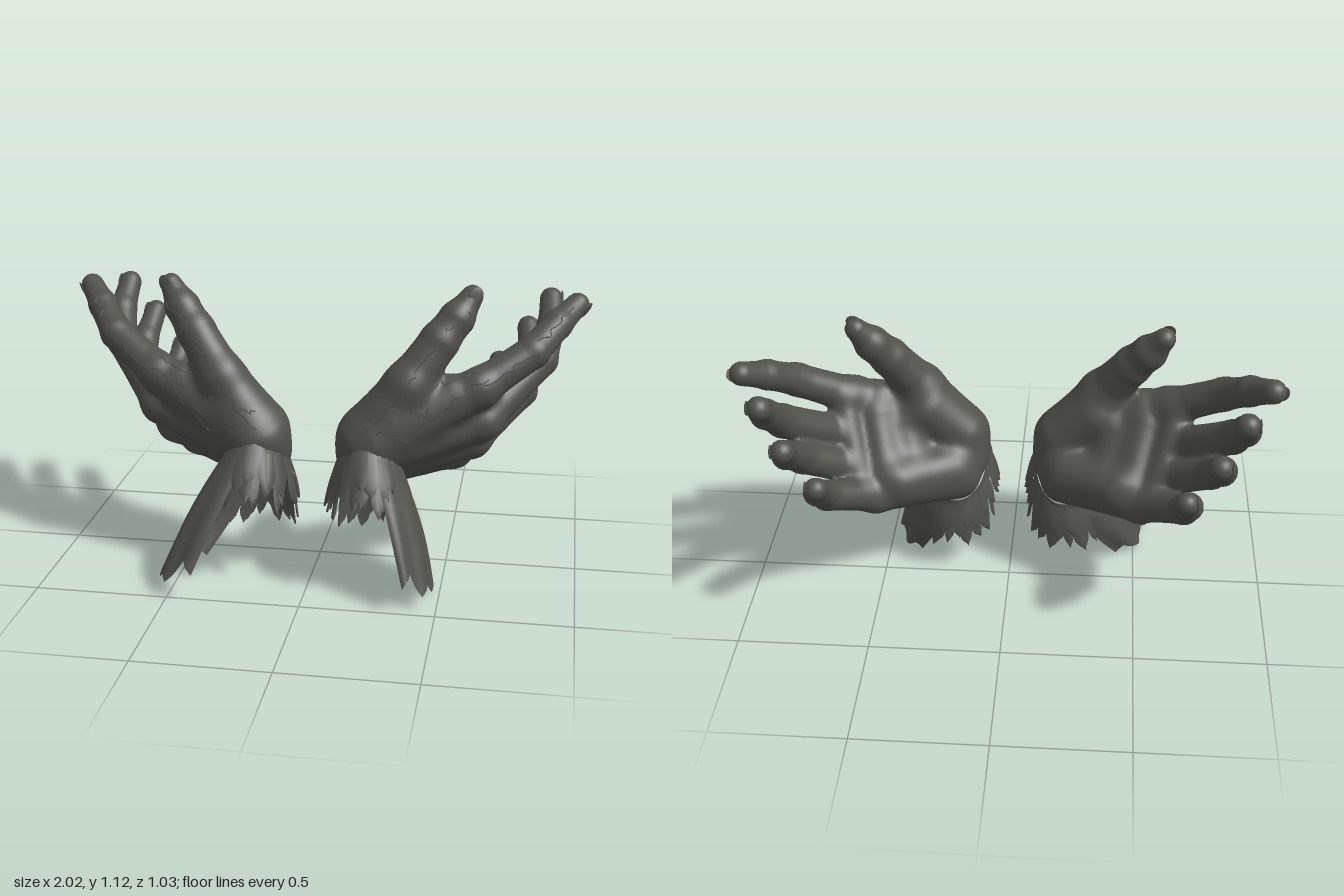
import * as THREE from 'three';
import { mergeGeometries } from 'three/addons/utils/BufferGeometryUtils.js';

const V = (x, y, z) => new THREE.Vector3(x, y, z);
let seed = 7;
const rand = () => (seed = (seed * 16807) % 2147483647) / 2147483647;

// Bones of one hand: chains of [x, y, z, radius]
const PALM = [
  [[.24, .55, .2, .1], [.61, .745, .1, .074]],
  [[.23, .5, .17, .1], [.62, .6, .04, .076]],
  [[.22, .45, .12, .1], [.58, .5, -.03, .074]],
  [[.21, .41, .07, .09], [.51, .425, -.1, .07]],
  [[.2, .54, .19, .11], [.35, .76, .16, .088]], // thumb root
  [[.2, .57, .15, .1], [.33, .69, .13, .1]], // thumb mound
  [[.24, .46, .06, .1], [.42, .47, -.06, .09]], // heel
  [[.3, .63, .17, .09], [.5, .735, .12, .06]], // web
  [[.42, .62, .1, .09], [.39, .47, 0, .09]], // hollow of the palm
  [[.52, .67, .07, .075], [.47, .49, -.06, .075]],
  [[.64, .75, .05, .05], [.56, .47, -.13, .05]], // pads below the fingers
  [[.2, .47, .15, .11], [.22, .42, .17, .09]], // wrist
];
const FINGERS = {
  index: [[.61, .745, .1, .072], [.8, .865, 0, .063], [.885, .945, -.11, .056], [.955, 1, -.205, .045]],
  middle: [[.62, .6, .04, .074], [.83, .785, -.17, .063], [.86, .885, -.29, .055], [.855, .97, -.395, .045]],
  ring: [[.58, .5, -.03, .072], [.76, .645, -.2, .06], [.785, .745, -.34, .053], [.77, .835, -.46, .044]],
  little: [[.51, .425, -.1, .068], [.665, .52, -.26, .057], [.675, .61, -.375, .05], [.66, .685, -.465, .042]],
  thumb: [[.35, .76, .16, .088], [.46, .92, .1, .074], [.52, 1, .06, .066], [.57, 1.075, .025, .042]],
};

const blend = (a, b, k) => {
  const h = Math.max(k - Math.abs(a - b), 0) / k;
  return Math.min(a, b) - h * h * k / 4;
};
// Distance to a tapered bone, slightly pinched between its joints
function bone(x, y, z, a, b) {
  const dx = b[0] - a[0], dy = b[1] - a[1], dz = b[2] - a[2];
  const px = x - a[0], py = y - a[1], pz = z - a[2];
  const t = Math.min(1, Math.max(0, (px * dx + py * dy + pz * dz) / (dx * dx + dy * dy + dz * dz)));
  const r = a[3] + (b[3] - a[3]) * t - .002 * Math.sin(Math.PI * t);
  return Math.hypot(px - dx * t, py - dy * t, pz - dz * t) - r;
}
const CHAINS = Object.values(FINGERS);
function handField(x, y, z) {
  let d = 9;
  for (const [a, b] of PALM) d = blend(d, bone(x, y, z, a, b), .04);
  for (const c of CHAINS) {
    let f = 9;
    for (let i = 0; i < 3; i++) f = blend(f, bone(x, y, z, c[i], c[i + 1]), .012);
    d = blend(d, f, .03);
  }
  return d;
}
function gradient(p) {
  const e = .004, f = handField;
  return V(f(p.x + e, p.y, p.z) - f(p.x - e, p.y, p.z), f(p.x, p.y + e, p.z) - f(p.x, p.y - e, p.z),
    f(p.x, p.y, p.z + e) - f(p.x, p.y, p.z - e)).normalize();
}
function toSurface(p) {
  for (let i = 0; i < 8; i++) p.addScaledVector(gradient(p), -handField(p.x, p.y, p.z));
  return p;
}

// Skin the field with a smooth quad net
function skin(min, n, h) {
  const stride = [1, n[0], n[0] * n[1]], total = stride[2] * n[2];
  const val = new Float32Array(total), cell = new Int32Array(total).fill(-1);
  const pos = [], nor = [], index = [];
  const each = (lo, hi, fn) => {
    for (let k = lo; k < n[2] - hi; k++) for (let j = lo; j < n[1] - hi; j++)
      for (let i = lo; i < n[0] - hi; i++) fn(i, j, k, i + j * stride[1] + k * stride[2]);
  };
  each(0, 0, (i, j, k, c) => { val[c] = handField(min[0] + i * h, min[1] + j * h, min[2] + k * h); });
  each(0, 1, (i, j, k, c) => {
    let count = 0;
    const s = [0, 0, 0];
    for (let a = 0; a < 8; a++) for (let d = 0; d < 3; d++) {
      if (a >> d & 1) continue;
      const o = c + (a & 1) + (a >> 1 & 1) * stride[1] + (a >> 2) * stride[2];
      const v0 = val[o], v1 = val[o + stride[d]];
      if (v0 < 0 === v1 < 0) continue;
      for (let q = 0; q < 3; q++) s[q] += (a >> q & 1) + (q === d ? v0 / (v0 - v1) : 0);
      count++;
    }
    if (!count) return;
    cell[c] = pos.length / 3;
    const p = V(min[0] + (i + s[0] / count) * h, min[1] + (j + s[1] / count) * h, min[2] + (k + s[2] / count) * h);
    pos.push(p.x, p.y, p.z);
    nor.push(...gradient(p));
  });
  each(1, 1, (i, j, k, c) => {
    for (let d = 0; d < 3; d++) {
      const inside = val[c] < 0;
      if (inside === val[c + stride[d]] < 0) continue;
      const u = stride[(d + 1) % 3], w = stride[(d + 2) % 3];
      const q = [cell[c - u - w], cell[c - w], cell[c], cell[c - u]];
      if (!inside) q.reverse();
      index.push(q[0], q[1], q[2], q[0], q[2], q[3]);
    }
  });
  const g = new THREE.BufferGeometry().setIndex(index);
  g.setAttribute('position', new THREE.Float32BufferAttribute(pos, 3));
  return g.setAttribute('normal', new THREE.Float32BufferAttribute(nor, 3));
}

// Sheet of (nu x nv) cells from a point rule
function sheet(nu, nv, fn) {
  const pos = [], index = [];
  for (let i = 0; i <= nu; i++) for (let j = 0; j <= nv; j++) {
    pos.push(...fn(i / nu, j / nv));
    const a = i * (nv + 1) + j, b = a + nv + 1;
    if (i < nu && j < nv) index.push(a, a + 1, b, b, a + 1, b + 1);
  }
  const g = new THREE.BufferGeometry().setIndex(index);
  g.setAttribute('position', new THREE.Float32BufferAttribute(pos, 3));
  g.computeVertexNormals();
  return g;
}

// Wrist ring: angle 0 is the thumb side, 90 degrees the outer side
const radial = (t, a = 1, b = 1) => V(b * Math.sin(t), .62 * a * Math.cos(t), .78 * a * Math.cos(t));
const ring = (t, s = 1) => radial(t, .19 * s, .12 * s).add(V(.213, .445, .15));
const fall = t => V(.05, -.9, .22).add(radial(t, .22, .1));

const saw = x => Math.abs((x % 1) * 2 - 1);

function collar() {
  return sheet(120, 5, (u, v) => {
    const t = u * Math.PI * 2;
    return ring(t, .95).addScaledVector(fall(t), v * (.08 + .07 * saw(u * 20)));
  });
}
// Long torn sleeve hanging from the outer side of the wrist
function sleeve({ end, wide, from, to }) {
  return sheet(96, 12, (u, v) => {
    const t = from + (to - from) * u;
    const tooth = saw(u * 4 + .5), arch = Math.sin(Math.PI * u);
    const k = v * (.82 + .1 * arch + .14 * (1 - tooth) ** .8);
    const low = V(Math.sin(t) * wide, .04 * Math.cos(t), .19 * Math.cos(t)).add(end);
    const fold = .02 * Math.sin(Math.PI * k) + .008 * k * Math.sin(u * 25);
    return ring(t, .97).lerp(low, k).addScaledVector(radial(t), fold);
  });
}
// Pointed strips layered around the wrist
function fringe() {
  const strips = [];
  for (let row = 0; row < 2; row++) for (let i = 0; i < 24; i++) {
    const t = (i + row / 2 + (rand() - .5) * .5) / 24 * Math.PI * 2;
    const len = (row ? .12 : .19) + .04 * Math.cos(t) + rand() * .07, w = .025 + rand() * .012;
    const dir = fall(t), out = radial(t), side = ring(t + .05).sub(ring(t - .05)).normalize();
    const lean = (rand() - .5) * .06, lift = .008 + row * .01, start = rand() * .02;
    strips.push(sheet(2, 7, (u, v) => {
      const half = w * Math.sqrt(1 - v) * (.8 + .9 * v);
      return ring(t, .96).addScaledVector(dir, start + v * len)
        .addScaledVector(side, (u * 2 - 1) * half + lean * v * v)
        .addScaledVector(out, lift * Math.sin(v * 2.4) + (u === .5 ? .008 : 0) + v * v * .02);
    }));
  }
  return mergeGeometries(strips);
}

// Nail plates lying on the fingertips
function nails() {
  return mergeGeometries(Object.entries(FINGERS).map(([name, c]) => {
    const tip = V(...c[3]), along = tip.clone().sub(V(...c[2])).normalize();
    const back = name === 'thumb' ? V(.25, .1, .95) : V(.55, -.5, .62);
    back.addScaledVector(along, -back.dot(along)).normalize();
    const p = toSurface(tip.clone().addScaledVector(back, c[3][3])).addScaledVector(back, -.003);
    const m = new THREE.Matrix4().makeBasis(along.clone().cross(back), along, back).setPosition(p);
    return new THREE.SphereGeometry(1, 16, 10).scale(.026, .036, .005).applyMatrix4(m);
  }));
}

// Wandering cracks standing slightly proud of the skin
const CRACKS = [
  [.2, .6, .32, .34, .78, .27], [.34, .72, .27, .46, .66, .24], [.26, .62, .32, .42, .56, .28],
  [.42, .57, .27, .44, .7, .22], [.46, .66, .22, .64, .8, .17], [.64, .78, .18, .84, .88, .06],
  [.36, .8, .26, .48, .93, .18], [.45, .77, .2, .6, .84, .14], [.82, .92, .04, .94, 1, -.14],
  [.18, .68, .28, .3, .66, .3], [.48, .98, .16, .56, 1.02, .1],
];
function cracks() {
  return mergeGeometries(CRACKS.map(([a, b, c, d, e, f]) => {
    const pts = [];
    for (let i = 0; i <= 9; i++) {
      const p = V(a, b, c).lerp(V(d, e, f), i / 9);
      pts.push(toSurface(p.add(V(rand() - .5, rand() - .5, rand() - .5).multiplyScalar(.03))));
    }
    return new THREE.TubeGeometry(new THREE.CatmullRomCurve3(pts), 36, .0025, 4);
  }));
}

function mirror(geo) {
  const g = geo.clone().scale(-1, 1, 1), ix = g.index.array;
  for (let i = 0; i < ix.length; i += 3) [ix[i], ix[i + 1]] = [ix[i + 1], ix[i]];
  return g;
}

export function createModel() {
  const stone = new THREE.MeshStandardMaterial({ color: 0x51524c, side: THREE.DoubleSide });
  stone.name = 'dark grey stone';
  const shared = {
    hand: skin([0, .24, -.55], [86, 76, 76], .0125),
    nails: nails(), cracks: cracks(), collar: collar(), fringe: fringe(),
  };
  const sleeves = {
    left: { end: V(.37, .035, .32), wide: .1, from: .15, to: 3.1 },
    right: { end: V(.42, .04, .34), wide: .13, from: -.1, to: 3 },
  };
  const model = new THREE.Group();
  model.name = 'openHands';
  for (const side of ['left', 'right']) {
    const group = new THREE.Group();
    group.name = side + 'Hand';
    const parts = { ...shared, sleeve: sleeve(sleeves[side]) };
    for (const [name, geo] of Object.entries(parts)) {
      const mesh = new THREE.Mesh(side === 'left' ? geo : mirror(geo), stone);
      mesh.name = name;
      group.add(mesh);
    }
    model.add(group);
  }
  // Stand on the ground
  model.position.y = -new THREE.Box3().setFromObject(model, true).min.y;
  return model;
}
